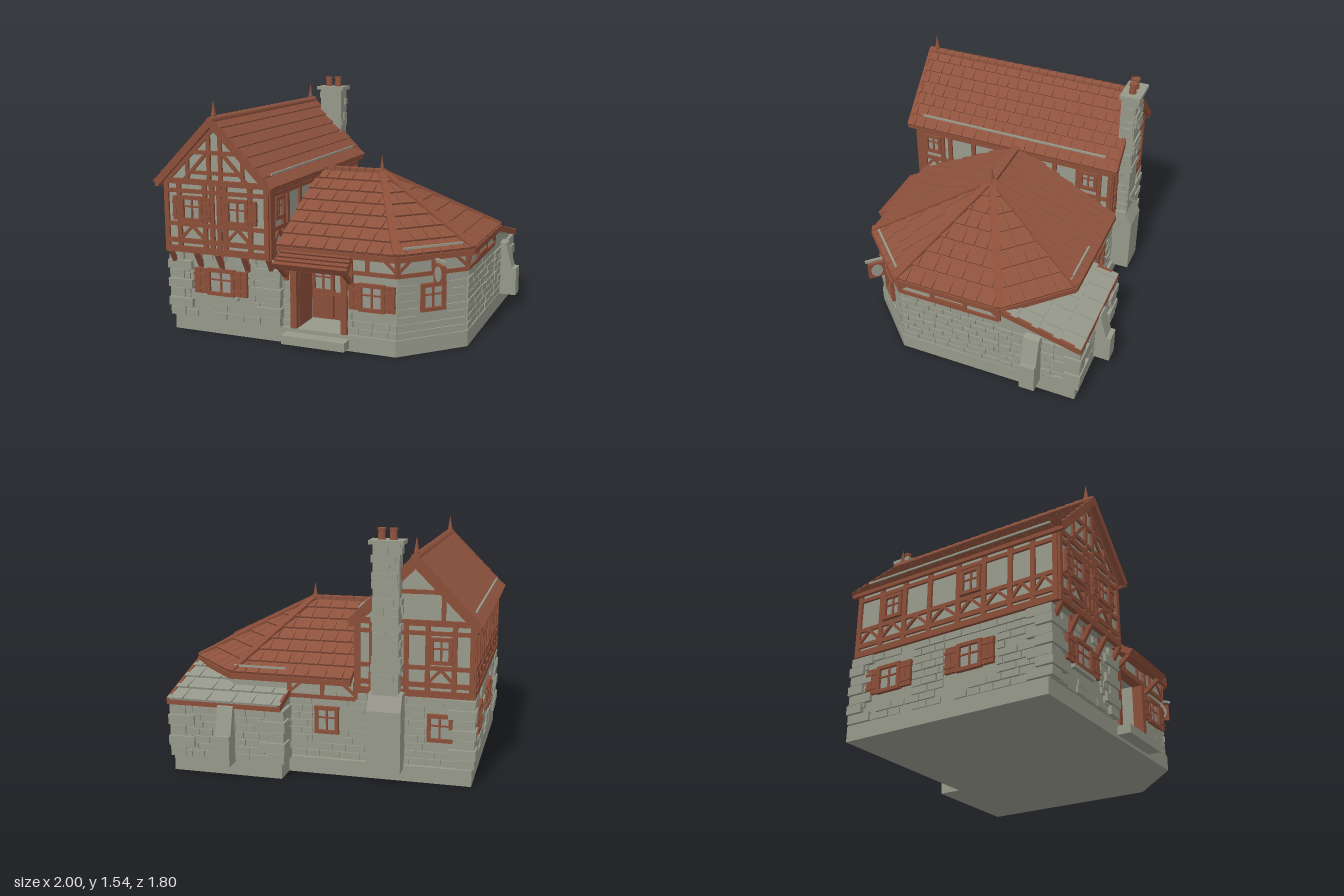
import * as THREE from 'three';
import { mergeGeometries } from 'three/addons/utils/BufferGeometryUtils.js';

const mat = (name, color) => Object.assign(new THREE.MeshStandardMaterial({ color }), { name });
const stone = mat('stone', 0x96988a), plaster = mat('plaster', 0x989a8b), glass = mat('glass', 0x94978c);
const timber = mat('timber', 0x8b4e39), tile = mat('roof tile', 0x8d523d);
const V = (x, y, z) => new THREE.Vector3(x, y, z);
let seed = 7;
const rnd = () => (seed = (seed * 16807) % 2147483647) / 2147483647;

function add(g, name, geo, m, p) {
  const o = new THREE.Mesh(geo, m);
  o.name = name;
  if (p) o.position.copy(p);
  g.add(o);
  return o;
}
const boxGeo = (x1, x2, y1, y2, z1, z2) =>
  new THREE.BoxGeometry(x2 - x1, y2 - y1, z2 - z1).translate((x1 + x2) / 2, (y1 + y2) / 2, (z1 + z2) / 2);
const box = (g, name, m, ...r) => add(g, name, boxGeo(...r), m);

// six-sided block from a lower and an upper quad, both counterclockwise from outside
function hex(b, t) {
  const pos = [], quad = (...q) => [0, 1, 2, 0, 2, 3].forEach(i => pos.push(...q[i].toArray()));
  quad(...t);
  quad(b[3], b[2], b[1], b[0]);
  for (let i = 0; i < 4; i++) { const j = (i + 1) % 4; quad(b[i], b[j], t[j], t[i]); }
  const geo = new THREE.BufferGeometry();
  geo.setAttribute('position', new THREE.Float32BufferAttribute(pos, 3));
  geo.computeVertexNormals();
  return geo;
}
// straight bar between two points
function rod(g, name, p, q, w, h, m = timber) {
  const o = add(g, name, new THREE.BoxGeometry(w, h, p.distanceTo(q)), m, p.clone().lerp(q, 0.5));
  o.lookAt(q);
}
// extruded floor plan, points are [x, z]
function plan(g, name, pts, y, h, m) {
  const s = new THREE.Shape(pts.map(([x, z]) => new THREE.Vector2(x, -z)));
  add(g, name, new THREE.ExtrudeGeometry(s, { depth: h, bevelEnabled: false }).rotateX(-Math.PI / 2), m, V(0, y, 0));
}
// roof plane with staggered tile courses; a, b eave left to right, c, d top right to left
function roofPlane(g, name, a, b, c, d, rows, tw, m = tile) {
  const U = b.clone().sub(a).normalize();
  const n = U.clone().cross(d.clone().sub(a)).normalize(), W = n.clone().cross(U);
  const du = p => p.clone().sub(a).dot(U), H = d.clone().sub(a).dot(W), ub = du(b), uc = du(c), ud = du(d);
  const off = (p, k) => p.clone().addScaledVector(n, k);
  const geos = [hex([a, b, c, d].map(p => off(p, -0.03)), [a, b, c, d])];
  const at = (x, f, k) => off(a, k).addScaledVector(W, H * f)
    .addScaledVector(U, THREE.MathUtils.clamp(x, ud * f, ub + (uc - ub) * f));
  for (let r = 0; r < rows; r++) {
    const f0 = r / rows, f1 = (r + 1) / rows, lo = ud * f0, hi = ub + (uc - ub) * f0;
    for (let x = lo - tw * (r % 2 ? 0.5 : 0.1), w; x < hi; x += w) {
      w = tw * (0.8 + 0.4 * rnd());
      if (x + w < lo + 0.005) continue;
      const e = x + w - 0.007, q = k0 => [at(x, f0, k0), at(e, f0, k0), at(e, f1, k0 / 8), at(x, f1, k0 / 8)];
      geos.push(hex(q(0).map(p => off(p, -0.003)), q(0.014)));
    }
  }
  add(g, name, mergeGeometries(geos), m);
}
// wall frame: local x along the wall, y up, z outward
function wall(g, name, x, z, turn) {
  const w = new THREE.Group();
  w.name = name;
  w.position.set(x, 0, z);
  w.rotation.y = turn * Math.PI / 4;
  g.add(w);
  return w;
}
// raised masonry courses with rectangular holes [x1, x2, y1, y2]
function stones(w, x1, x2, y1, y2, holes = [], density = 1) {
  const geos = [], n = Math.round((y2 - y1) / 0.05), h = (y2 - y1) / n;
  for (let r = 0; r < n; r++) {
    const b = y1 + r * h;
    for (let x = x1 - (r % 2) * 0.05, e; x < x2; x = e) {
      e = x + 0.08 + 0.05 * rnd();
      let parts = [[Math.max(x, x1), Math.min(e, x2)]];
      for (const k of holes) if (b < k[3] && b + h > k[2])
        parts = parts.flatMap(([p, q]) => [[p, Math.min(q, k[0])], [Math.max(p, k[1]), q]]);
      const z = 0.008 + 0.006 * rnd();
      if (rnd() < density) for (const [p, q] of parts) if (q - p > 0.02)
        geos.push(boxGeo(p + 0.003, q - 0.003, b + 0.003, b + h - 0.004, -0.01, z));
    }
  }
  add(w, 'wallStones', mergeGeometries(geos), stone);
}
function quoins(g, x, z, sx, sz, y2) {
  const n = Math.round((y2 - 0.1) / 0.065), h = (y2 - 0.1) / n, geos = [];
  for (let i = 0; i < n; i++) {
    const lx = i % 2 ? 0.14 : 0.08, lz = i % 2 ? 0.08 : 0.14, o = i % 2 ? 0.03 : 0.022;
    geos.push(new THREE.BoxGeometry(lx + o, h - 0.006, lz + o)
      .translate(x + sx * (o - lx) / 2, 0.1 + (i + 0.5) * h, z + sz * (o - lz) / 2));
  }
  add(g, 'cornerStones', mergeGeometries(geos), stone);
}
function bar(w, x1, y1, x2, y2, t = 0.025, z = 0, m = timber) {
  const o = add(w, 'timberBeam', new THREE.BoxGeometry(Math.hypot(x2 - x1, y2 - y1), t, 0.03), m, V((x1 + x2) / 2, (y1 + y2) / 2, z));
  o.rotation.z = Math.atan2(y2 - y1, x2 - x1);
}
function win(w, x, y, wd, ht, sw = 0) {
  const l = x - wd / 2, r = x + wd / 2, t = y + ht;
  box(w, 'windowPane', glass, l, r, y, t, -0.002, 0.007);
  for (const k of [l, r]) bar(w, k, y, k, t, 0.022, 0.01);
  for (const k of [y, t]) bar(w, l - 0.012, k, r + 0.012, k, 0.022, 0.01);
  bar(w, x, y, x, t, 0.012);
  bar(w, l, y + ht * 0.6, r, y + ht * 0.6, 0.01);
  if (sw) for (const s of [-1, 1]) {
    const c = x + s * (wd / 2 + 0.012 + sw / 2);
    for (const k of [-0.25, 0.25]) box(w, 'shutterBoard', timber, c + sw * (k - 0.23), c + sw * (k + 0.23), y - 0.005, t + 0.005, 0, 0.02);
    for (const k of [0.2, 0.8]) box(w, 'shutterRail', timber, c - sw / 2, c + sw / 2, y + ht * k - 0.008, y + ht * k + 0.008, 0, 0.027);
  }
}
// half-timbered storey with sill beams, rails, posts and crossed braces
function framing(w, x1, x2, posts) {
  for (const [y, t] of [[0.555, 0.04], [0.61, 0.03], [0.715, 0.025], [0.925, 0.025], [0.985, 0.035]]) bar(w, x1, y, x2, y, t);
  for (const x of posts) bar(w, x, 0.55, x, 0.98, 0.03);
  for (let i = 0; i + 1 < posts.length; i++) if (posts[i + 1] - posts[i] > 0.13) {
    const m = (posts[i] + posts[i + 1]) / 2;
    bar(w, posts[i], 0.62, m, 0.705, 0.018);
    bar(w, posts[i + 1], 0.62, m, 0.705, 0.018);
  }
}
function finial(g, x, y, z) {
  add(g, 'finial', new THREE.ConeGeometry(0.018, 0.11, 8), tile, V(x, y + 0.055, z));
  add(g, 'finialBall', new THREE.SphereGeometry(0.017, 8, 6), tile, V(x, y + 0.015, z));
}

export function createModel() {
  const g = new THREE.Group();
  g.name = 'house';
  // plinth and step
  plan(g, 'plinth', [[-0.96, 0.76], [0.54, 0.76], [0.885, 0.415], [0.885, -0.78], [0.18, -0.78], [0.18, -0.63], [-0.96, -0.63]], 0, 0.1, stone);
  box(g, 'doorStep', stone, -0.17, 0.245, 0.02, 0.075, 0.7, 0.845);

  // gabled house body
  box(g, 'groundFloor', stone, -0.95, -0.22, 0.1, 0.55, -0.6, 0.77);
  const gable = new THREE.Shape([[-0.955, 0.54], [-0.245, 0.54], [-0.245, 0.98], [-0.6, 1.335], [-0.955, 0.98]].map(p => new THREE.Vector2(...p)));
  add(g, 'upperFloor', new THREE.ExtrudeGeometry(gable, { depth: 1.435, bevelEnabled: false }), plaster, V(0, 0, -0.605));
  for (const [x, z, sx, sz] of [[-0.95, 0.77, -1, 1], [-0.95, -0.6, -1, -1], [-0.22, 0.77, 1, 1]]) quoins(g, x, z, sx, sz, 0.53);

  // ground floor walls
  let w = wall(g, 'houseFrontWall', 0, 0.77, 0);
  stones(w, -0.95, -0.22, 0.1, 0.53, [[-0.83, -0.4, 0.24, 0.45]], 0.75);
  win(w, -0.61, 0.27, 0.17, 0.15, 0.09);
  box(w, 'windowSill', stone, -0.73, -0.49, 0.235, 0.257, 0, 0.025);
  w = wall(g, 'houseLeftWall', -0.95, 0, -2);
  stones(w, -0.6, 0.77, 0.1, 0.53, [[-0.5, -0.16, 0.24, 0.45], [0.07, 0.43, 0.24, 0.45]], 0.85);
  for (const x of [-0.33, 0.25]) win(w, x, 0.27, 0.15, 0.15, 0.08);
  w = wall(g, 'houseBackWall', 0, -0.6, 4);
  stones(w, -0.18, 0.95, 0.1, 0.53, [[0.67, 0.85, 0.24, 0.45], [-0.03, 0.15, 0.24, 0.45]], 0.85);
  for (const x of [0.76, 0.06]) win(w, x, 0.27, 0.13, 0.15);

  // half-timbered upper floor
  w = wall(g, 'upperFront', 0, 0.83, 0);
  framing(w, -0.96, -0.24, [-0.945, -0.855, -0.675, -0.625, -0.575, -0.535, -0.365, -0.255]);
  for (const x of [-0.765, -0.45]) win(w, x, 0.745, 0.13, 0.14, 0.055);
  for (const s of [-1, 1]) {
    bar(w, -0.6 + s * 0.04, 0.98, -0.6 + s * 0.04, 1.28);
    bar(w, -0.6 + s * 0.22, 0.99, -0.6 + s * 0.06, 1.16, 0.02);
    bar(w, -0.6 + s * 0.19, 0.98, -0.6 + s * 0.19, 1.14, 0.022);
    bar(w, -0.6 + s * 0.355, 0.97, -0.6, 1.325, 0.03);
  }
  bar(w, -0.8, 1.045, -0.4, 1.045, 0.022);
  bar(w, -0.76, 1.17, -0.44, 1.17);
  for (const x of [-0.93, -0.75, -0.6, -0.42, -0.25]) {
    rod(g, 'jettyBracket', V(x, 0.44, 0.775), V(x, 0.54, 0.835), 0.025, 0.025);
    box(g, 'jettyPost', timber, x - 0.013, x + 0.013, 0.43, 0.54, 0.76, 0.79);
  }
  w = wall(g, 'upperLeft', -0.955, 0, -2);
  framing(w, -0.61, 0.83, [-0.595, -0.42, -0.24, -0.05, 0.16, 0.34, 0.52, 0.67, 0.815]);
  for (const x of [-0.33, 0.25]) win(w, x, 0.75, 0.12, 0.14);
  w = wall(g, 'upperRight', -0.245, 0, 2);
  framing(w, -0.83, 0.61, [-0.815, -0.785, -0.64, -0.58, -0.4, -0.2, 0, 0.2, 0.37, 0.52, 0.595]);
  for (const x of [-0.71, 0.445]) win(w, x, 0.78, 0.1, 0.12);
  w = wall(g, 'upperBack', 0, -0.605, 4);
  framing(w, 0.24, 0.96, [0.255, 0.34, 0.55, 0.68, 0.84, 0.945]);
  win(w, 0.76, 0.75, 0.11, 0.14);
  for (const s of [-1, 1]) {
    bar(w, 0.6 + s * 0.355, 0.97, 0.6, 1.325, 0.03);
    bar(w, 0.6 + s * 0.17, 0.98, 0.6 + s * 0.17, 1.15);
  }
  bar(w, 0.44, 1.17, 0.76, 1.17);

  // main roof
  const e = 0.98, t = 1.378, f = 0.885, b = -0.645;
  roofPlane(g, 'mainRoofRight', V(-0.2, e, f), V(-0.2, e, b), V(-0.6, t, b), V(-0.6, t, f), 7, 0.085);
  roofPlane(g, 'mainRoofLeft', V(-1, e, b), V(-1, e, f), V(-0.6, t, f), V(-0.6, t, b), 7, 0.085);
  for (const s of [-1, 1]) {
    for (const z of [f - 0.01, b + 0.01]) rod(g, 'bargeBoard', V(-0.6 + s * 0.392, e - 0.012, z), V(-0.6, t - 0.015, z), 0.024, 0.045);
    rod(g, 'roofRail', V(-0.6 + s * 0.352, 1.05, -0.55), V(-0.6 + s * 0.352, 1.05, 0.78), 0.012, 0.012, stone);
    rod(g, 'eavesBoard', V(-0.6 + s * 0.385, 0.965, b), V(-0.6 + s * 0.385, 0.965, f), 0.02, 0.03);
  }
  for (let i = 0; i < 24; i++)
    add(g, 'ridgeTile', new THREE.CylinderGeometry(0.024, 0.028, 0.062, 8).rotateX(Math.PI / 2), tile, V(-0.6, t - 0.008, b + 0.032 + i * 0.0637));
  finial(g, -0.6, 1.385, 0.83);
  finial(g, -0.6, 1.385, -0.59);

  // low wing with chamfered corners and a doorway recess
  const foot = [[-0.25, 0.74], [-0.12, 0.74], [-0.12, 0.5], [0.21, 0.5], [0.21, 0.74], [0.54, 0.74], [0.87, 0.41], [0.87, -0.27], [0.54, -0.6], [-0.25, -0.6]];
  plan(g, 'wingWalls', foot, 0.1, 0.5, stone);
  box(g, 'lintel', plaster, -0.12, 0.21, 0.48, 0.6, 0.5, 0.74);
  w = wall(g, 'wingFront', 0, 0.74, 0);
  stones(w, -0.22, 0.54, 0.1, 0.48, [[-0.14, 0.23, 0, 0.6], [0.26, 0.54, 0.24, 0.45]]);
  win(w, 0.385, 0.27, 0.14, 0.15, 0.065);
  const band = (x1, x2) => {
    bar(w, x1, 0.49, x2, 0.49);
    box(w, 'bandPlaster', plaster, x1, x2, 0.5, 0.59, -0.01, 0.004);
    const n = Math.max(2, Math.round((x2 - x1) / 0.2));
    for (let i = 0; i <= n; i++) bar(w, x1 + (x2 - x1) * i / n, 0.49, x1 + (x2 - x1) * i / n, 0.6);
    for (const [p, s] of [[x1, 1], [x2, -1]]) bar(w, p, 0.51, p + s * 0.09, 0.59, 0.018);
  };
  band(-0.2, 0.54);
  w = wall(g, 'wingChamfer', 0.705, 0.575, 1);
  stones(w, -0.233, 0.233, 0.1, 0.48, [[-0.1, 0.1, 0.24, 0.45]]);
  win(w, 0, 0.27, 0.14, 0.15);
  band(-0.233, 0.233);
  w = wall(g, 'wingRight', 0.87, 0, 2);
  stones(w, -0.41, 0.27, 0.1, 0.48);
  band(-0.41, 0.27);
  for (const y of [0.515, 0.57]) bar(w, -0.17, y, 0.04, y, 0.014, 0.004);
  w = wall(g, 'wingBack', 0, -0.6, 4);
  band(-0.18, 0.24);

  // doorway
  for (const x of [-0.12, 0.21]) box(g, 'doorPost', timber, x - 0.02, x + 0.02, 0.1, 0.5, 0.7, 0.765);
  box(g, 'doorHead', timber, -0.14, 0.23, 0.465, 0.5, 0.7, 0.765);
  box(g, 'openDoorLeaf', timber, -0.12, -0.098, 0.1, 0.47, 0.53, 0.72);
  w = wall(g, 'innerDoor', 0, 0.5, 0);
  for (const [l, r] of [[-0.1, 0.04], [0.05, 0.19]]) box(w, 'doorPanel', timber, l, r, 0.1, 0.26, 0, 0.02);
  win(w, -0.03, 0.28, 0.13, 0.15);
  bar(w, -0.12, 0.265, 0.21, 0.265, 0.02);
  bar(w, 0.125, 0.26, 0.125, 0.46, 0.012);
  roofPlane(g, 'porchRoof', V(-0.2, 0.525, 0.89), V(0.28, 0.525, 0.89), V(0.265, 0.615, 0.745), V(-0.185, 0.615, 0.745), 5, 1.2, timber);
  for (const x of [-0.17, 0.25]) {
    rod(g, 'porchBrace', V(x, 0.42, 0.745), V(x, 0.52, 0.87), 0.025, 0.025);
    box(g, 'porchPost', timber, x - 0.014, x + 0.014, 0.4, 0.58, 0.73, 0.765);
  }

  // wing roof
  const y = 0.618, A = V(0.2, 0.985, 0.065), R = V(-0.24, 0.985, 0.065);
  const c = [V(-0.22, y, 0.78), V(0.55, y, 0.78), V(0.91, y, 0.42), V(0.91, y, -0.29), V(0.55, y, -0.65), V(-0.22, y, -0.65)];
  for (let i = 0; i < 5; i++) {
    roofPlane(g, 'wingRoof', c[i], c[i + 1], i === 4 ? R : A, i ? A : R, 7, 0.1);
    rod(g, 'wingEavesBoard', c[i].clone().setY(0.598), c[i + 1].clone().setY(0.598), 0.02, 0.035);
    if (i) rod(g, 'hipCap', c[i].clone().setY(y + 0.008), A.clone().setY(0.995), 0.045, 0.022);
  }
  for (let i = 0; i < 8; i++) box(g, 'wingRidgeTile', tile, -0.23 + i * 0.054, -0.18 + i * 0.054, 0.97, 1.003, 0.04, 0.09);
  finial(g, 0.2, 0.985, 0.065);
  rod(g, 'wingRoofRail', V(0.2, 0.655, -0.61), V(0.54, 0.655, -0.61), 0.012, 0.012, stone);
  rod(g, 'wingRoofRail', V(0.57, 0.655, 0.72), V(0.85, 0.655, 0.44), 0.012, 0.012, stone);

  // lean-to at the back
  const q = yy => [V(0.18, yy[0], -0.25), V(0.18, yy[1], -0.785), V(0.875, yy[1], -0.785), V(0.875, yy[0], -0.25)];
  add(g, 'leanToWalls', hex(q([0.1, 0.1]).reverse(), q([0.575, 0.435]).reverse()).scale(1, 1, 1), stone).material.side = THREE.DoubleSide;
  stones(wall(g, 'leanToBack', 0, -0.785, 4), -0.875, -0.18, 0.1, 0.43);
  stones(wall(g, 'leanToRight', 0.875, 0, 2), 0.27, 0.78, 0.1, 0.43);
  stones(wall(g, 'leanToLeft', 0.18, 0, -2), -0.78, -0.61, 0.1, 0.43);
  quoins(g, 0.875, -0.785, 1, -1, 0.44);
  quoins(g, 0.18, -0.785, -1, -1, 0.44);
  roofPlane(g, 'leanToRoof', V(0.91, 0.465, -0.81), V(0.18, 0.465, -0.81), V(0.18, 0.61, -0.26), V(0.91, 0.61, -0.26), 4, 0.14, stone);
  for (const x of [0.185, 0.905]) rod(g, 'leanToRake', V(x, 0.455, -0.81), V(x, 0.6, -0.26), 0.018, 0.04);
  rod(g, 'leanToEavesBoard', V(0.18, 0.45, -0.805), V(0.91, 0.45, -0.805), 0.018, 0.03);

  // buttresses
  const prof = new THREE.Shape([[0, 0.09], [0.115, 0.09], [0.115, 0.28], [0.085, 0.28], [0.04, 0.45], [0, 0.46]].map(p => new THREE.Vector2(...p)));
  for (const [x, z, turn] of [[0.88, -0.5, 0], [0.525, -0.785, Math.PI / 2]]) {
    const geo = new THREE.ExtrudeGeometry(prof, { depth: 0.1, bevelEnabled: false }).translate(0, 0, -0.05);
    add(g, 'buttress', geo, stone, V(x, 0, z)).rotation.y = turn;
  }

  // chimney
  box(g, 'chimneyStack', stone, -0.52, -0.36, 0.1, 1.46, -0.695, -0.595);
  const low = new THREE.Shape([[0.58, 0.08], [0.74, 0.08], [0.74, 0.46], [0.69, 0.56], [0.58, 0.56]].map(p => new THREE.Vector2(...p)));
  add(g, 'chimneyBase', new THREE.ExtrudeGeometry(low, { depth: 0.205, bevelEnabled: false }).rotateY(Math.PI / 2), stone, V(-0.545, 0, 0));
  stones(wall(g, 'chimneyStones', 0, -0.695, 4), 0.36, 0.52, 0.58, 1.44, [], 0.5);
  stones(wall(g, 'chimneySideStones', -0.36, 0, 2), 0.6, 0.69, 0.58, 1.44, [], 0.5);
  stones(wall(g, 'chimneySideStones', -0.52, 0, -2), -0.69, -0.6, 0.58, 1.44, [], 0.5);
  box(g, 'chimneyCap', stone, -0.545, -0.338, 1.45, 1.475, -0.72, -0.585);
  for (const x of [-0.475, -0.405]) {
    add(g, 'chimneyPot', new THREE.CylinderGeometry(0.02, 0.024, 0.065, 12), tile, V(x, 1.505, -0.652));
    add(g, 'chimneyPotRim', new THREE.CylinderGeometry(0.026, 0.026, 0.012, 12), tile, V(x, 1.537, -0.652));
  }

  // hanging sign on the chamfered corner
  w = wall(g, 'hangingSign', 0.705, 0.575, 1);
  box(w, 'signArm', stone, -0.008, 0.008, 0.575, 0.59, 0, 0.16);
  box(w, 'signBoard', timber, -0.012, 0.012, 0.445, 0.56, 0.035, 0.145);
  add(w, 'signDisc', new THREE.CylinderGeometry(0.042, 0.042, 0.032, 20).rotateZ(Math.PI / 2).scale(1, 1.1, 0.9), stone, V(0, 0.503, 0.09));
  return g;
}
